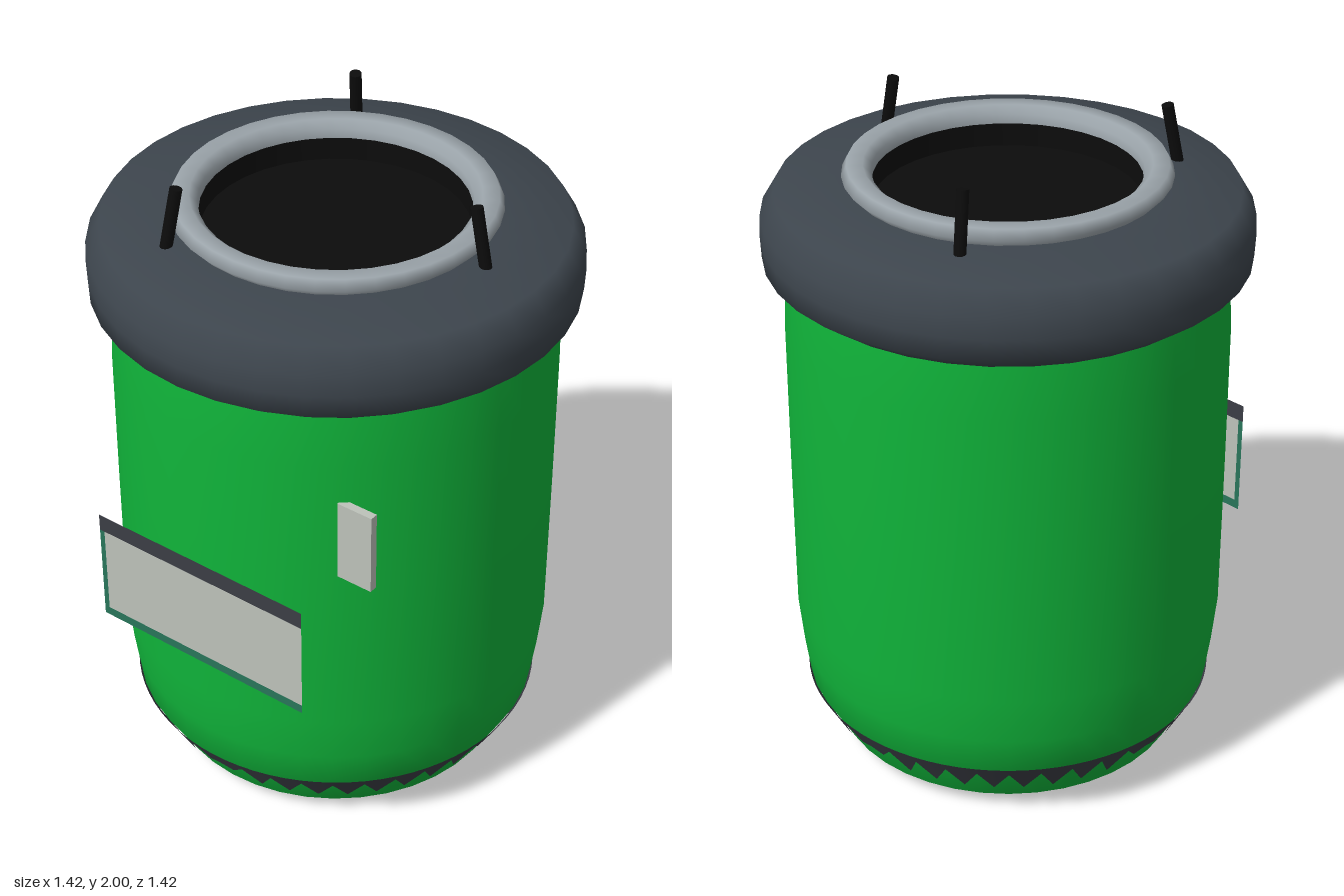
import * as THREE from 'three';

const material = (name, color, side = THREE.FrontSide) => {
  const m = new THREE.MeshStandardMaterial({ color, side });
  m.name = name;
  return m;
};

export function createModel() {
  const model = new THREE.Group();
  const green = material('green', 0x10b43a);
  const slate = material('slate', 0x3d454d);
  const charcoal = material('charcoal', 0x3b3d45, THREE.DoubleSide);
  const grey = material('grey', 0x9ba4aa);
  const black = material('black', 0x0c0c0c);
  const pale = material('pale', 0xbdc2ba, THREE.DoubleSide);
  const teal = material('teal', 0x28755a, THREE.DoubleSide);

  const add = (name, geometry, mat, x = 0, y = 0, z = 0, parent = model) => {
    const mesh = new THREE.Mesh(geometry, mat);
    mesh.name = name;
    mesh.position.set(x, y, z);
    parent.add(mesh);
    return mesh;
  };
  const lathe = (points, segments) =>
    new THREE.LatheGeometry(points.map(([r, y]) => new THREE.Vector2(r, y)), segments);

  // Drum and its foot
  add('body', lathe([[0.53, 0.05], [0.62, 0.21], [0.635, 0.32], [0.65, 0.47],
    [0.651, 0.95], [0.65, 1.4], [0.637, 1.58]], 40), green);
  add('base', lathe([[0, 0.003], [0.39, 0.003], [0.53, 0.051]], 40), slate);

  // Collar, mouth ring and recessed opening
  add('collar', lathe([[0.6, 1.565], [0.645, 1.565], [0.705, 1.61], [0.708, 1.675],
    [0.705, 1.74], [0.665, 1.808], [0.45, 1.83], [0.39, 1.83]], 36), slate);
  add('mouthRing', lathe([[0.445, 1.82], [0.472, 1.85], [0.457, 1.88], [0.41, 1.88],
    [0.387, 1.858], [0.385, 1.83]], 36), grey);
  add('openingWall', lathe([[0.387, 1.845], [0.385, 1.76]], 36), black);
  const floor = add('openingFloor', new THREE.CircleGeometry(0.386, 36), black, 0, 1.76, 0);
  floor.rotation.x = -Math.PI / 2;

  // Zigzag band painted on the lower slope, shallower at the four axes
  const teeth = 40, positions = [], indices = [];
  const put = (angle, y) => {
    const r = 0.53 + (y - 0.05) * 0.5625 + 0.005;
    positions.push(r * Math.sin(angle), y, r * Math.cos(angle));
  };
  for (let i = 0; i <= teeth * 2; i++) {
    const angle = (i / (teeth * 2)) * Math.PI * 2;
    const shallow = Math.abs(Math.sin(angle * 2)) < 0.2;
    const low = i % 2 ? (shallow ? 0.13 : 0.1) : (shallow ? 0.145 : 0.18);
    put(angle, 0.208);
    put(angle, low);
    if (i < teeth * 2) {
      const a = i * 2;
      indices.push(a, a + 1, a + 3, a, a + 3, a + 2);
    }
  }
  const band = new THREE.BufferGeometry();
  band.setAttribute('position', new THREE.Float32BufferAttribute(positions, 3));
  band.setIndex(indices);
  band.computeVertexNormals();
  add('zigzagBand', band, charcoal);

  // Flat panel on the front, made of side-by-side faces
  const panel = new THREE.Group();
  panel.name = 'frontPanel';
  model.add(panel);
  const face = (name, mat, x0, x1, y0, y1) => add(name,
    new THREE.PlaneGeometry(x1 - x0, y1 - y0), mat, (x0 + x1) / 2, (y0 + y1) / 2, 0.654, panel);
  face('panelFace', pale, -0.353, 0.37, 0.628, 0.915);
  face('panelHeader', charcoal, -0.37, 0.37, 0.915, 0.97);
  face('panelFooter', teal, -0.37, 0.37, 0.6, 0.628);
  face('panelEdge', teal, -0.37, -0.353, 0.628, 0.915);

  // Small tag beside the panel
  add('sideTag', new THREE.BoxGeometry(0.115, 0.255, 0.025), pale, 0.4525, 1.157, 0.508);

  // Three prongs leaning inward around the mouth
  for (let i = 0; i < 3; i++) {
    const pivot = new THREE.Group();
    pivot.name = 'prong' + (i + 1);
    pivot.rotation.y = (i * Math.PI * 2) / 3;
    const rod = add('prongRod', new THREE.CylinderGeometry(0.018, 0.018, 0.182, 12),
      black, 0.488, 1.908, 0, pivot);
    rod.rotation.z = 0.2;
    model.add(pivot);
  }

  return model;
}
